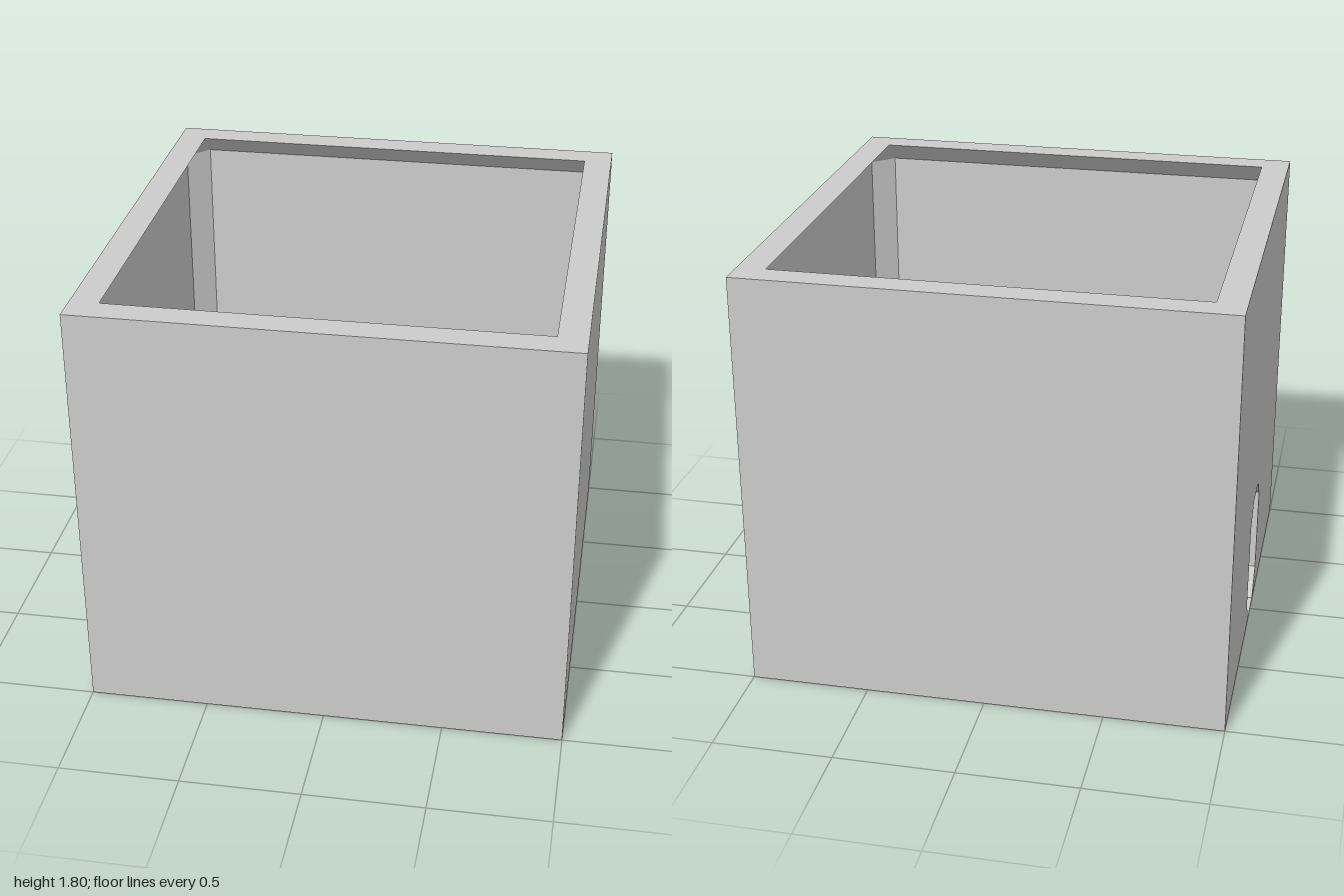
import * as THREE from 'three';

const material = new THREE.MeshStandardMaterial({ color: 0xcccccc, flatShading: true, side: THREE.DoubleSide });

const TOP = 1.8, FLOOR = 0.005, OPEN = 0.88, CAVITY = 0.97, LEDGE = 0.03, BEVEL = 0.12;

function makeMesh(name, geometry) {
  geometry.computeVertexNormals();
  const mesh = new THREE.Mesh(geometry, material);
  mesh.name = name;
  return mesh;
}

function quadGeometry(quads) {
  const positions = [];
  for (const [a, b, c, d] of quads) {
    for (const [p, q, r] of [[a, b, c], [a, c, d]]) {
      const area = new THREE.Triangle(p, q, r).getArea();
      if (area > 1e-7) for (const v of [p, q, r]) positions.push(v.x, v.y, v.z);
    }
  }
  return new THREE.BufferGeometry().setAttribute('position', new THREE.Float32BufferAttribute(positions, 3));
}

// Square ring of half-width w whose corners are cut where the flat sides end, at c
function ring([w, c, y]) {
  return [[-w, c], [-c, w], [c, w], [w, c], [w, -c], [c, -w], [-c, -w], [-w, -c]]
    .map(([x, z]) => new THREE.Vector3(x, y, z));
}

// Joins rings; sides = 7 leaves the doorway side (-x) free
function loft(name, sections, sides = 8) {
  const rings = sections.map(ring), quads = [];
  for (let k = 0; k + 1 < rings.length; k++) {
    for (let i = 0; i < sides; i++) {
      const j = (i + 1) % 8;
      quads.push([rings[k][i], rings[k][j], rings[k + 1][j], rings[k + 1][i]]);
    }
  }
  return makeMesh(name, quadGeometry(quads));
}

// Inner surface of the doorway wall at height y
function innerX(y) {
  if (y >= BEVEL) return -CAVITY;
  return y >= LEDGE ? -CAVITY + BEVEL - y : -OPEN;
}

// Panel drawn in (z, y), then set in x by a rule
function sidePanel(name, points, xAt, inward) {
  const shape = new THREE.Shape(points.map(([z, y]) => new THREE.Vector2(z, y)));
  const geometry = new THREE.ShapeGeometry(shape);
  const p = geometry.attributes.position;
  for (let i = 0; i < p.count; i++) {
    const z = p.getX(i), y = p.getY(i);
    p.setXYZ(i, xAt(y), y, z);
  }
  if (inward) {
    const index = geometry.index.array;
    for (let i = 0; i < index.length; i += 3) [index[i], index[i + 1]] = [index[i + 1], index[i]];
  }
  return makeMesh(name, geometry);
}

export function createModel() {
  const group = new THREE.Group();

  // Doorway outline with bevelled corners, from one foot over the top to the other
  const half = [[0.09, FLOOR], [0.11, LEDGE], [0.18, BEVEL], [0.18, 0.5], [0.09, 0.59]];
  const doorway = [...half.map(([z, y]) => [-z, y]), ...[...half].reverse()];

  // Box shell
  group.add(
    loft('base', [[0, 0, 0], [1, 1, 0]]),
    loft('outerWalls', [[1, 1, 0], [1, 1, TOP]], 7),
    loft('rim', [[1, 1, TOP], [OPEN, OPEN, TOP], [CAVITY, OPEN, TOP - 0.09]]),
    loft('innerWalls', [[CAVITY, OPEN, TOP - 0.09], [CAVITY, OPEN, BEVEL],
      [OPEN, OPEN, LEDGE], [OPEN, OPEN, FLOOR]], 7),
    loft('floor', [[OPEN, OPEN, FLOOR], [0, 0, FLOOR]]),
  );

  // Doorway wall, outer and inner faces
  const wall = new THREE.Group();
  wall.name = 'doorwayWall';
  wall.add(sidePanel('outerFace',
    [[-1, 0], [-1, FLOOR], ...doorway, [1, FLOOR], [1, 0], [1, TOP], [-1, TOP]], () => -1));
  wall.add(sidePanel('outerSill', [[-1, 0], [1, 0], [1, FLOOR], [-1, FLOOR]], () => -1));
  wall.add(sidePanel('innerFace',
    [[-OPEN, BEVEL], ...doorway.slice(2, -2), [OPEN, BEVEL], [OPEN, TOP - 0.09], [-OPEN, TOP - 0.09]],
    innerX, true));
  for (const s of [-1, 1]) {
    wall.add(sidePanel('innerBevel',
      [[s * OPEN, LEDGE], [s * 0.11, LEDGE], [s * 0.18, BEVEL], [s * OPEN, BEVEL]], innerX, true));
    wall.add(sidePanel('innerLedge',
      [[s * OPEN, FLOOR], [s * 0.09, FLOOR], [s * 0.11, LEDGE], [s * OPEN, LEDGE]], () => -OPEN, true));
  }

  // Thickness of the wall around the doorway
  const reveal = doorway.map(([z, y], i) => {
    const [z2, y2] = doorway[(i + 1) % doorway.length];
    const at = (x, yy, zz) => new THREE.Vector3(x, yy, zz);
    return [at(-1, y, z), at(-1, y2, z2), at(innerX(y2), y2, z2), at(innerX(y), y, z)];
  });
  wall.add(makeMesh('doorwayReveal', quadGeometry(reveal)));
  group.add(wall);
  return group;
}
